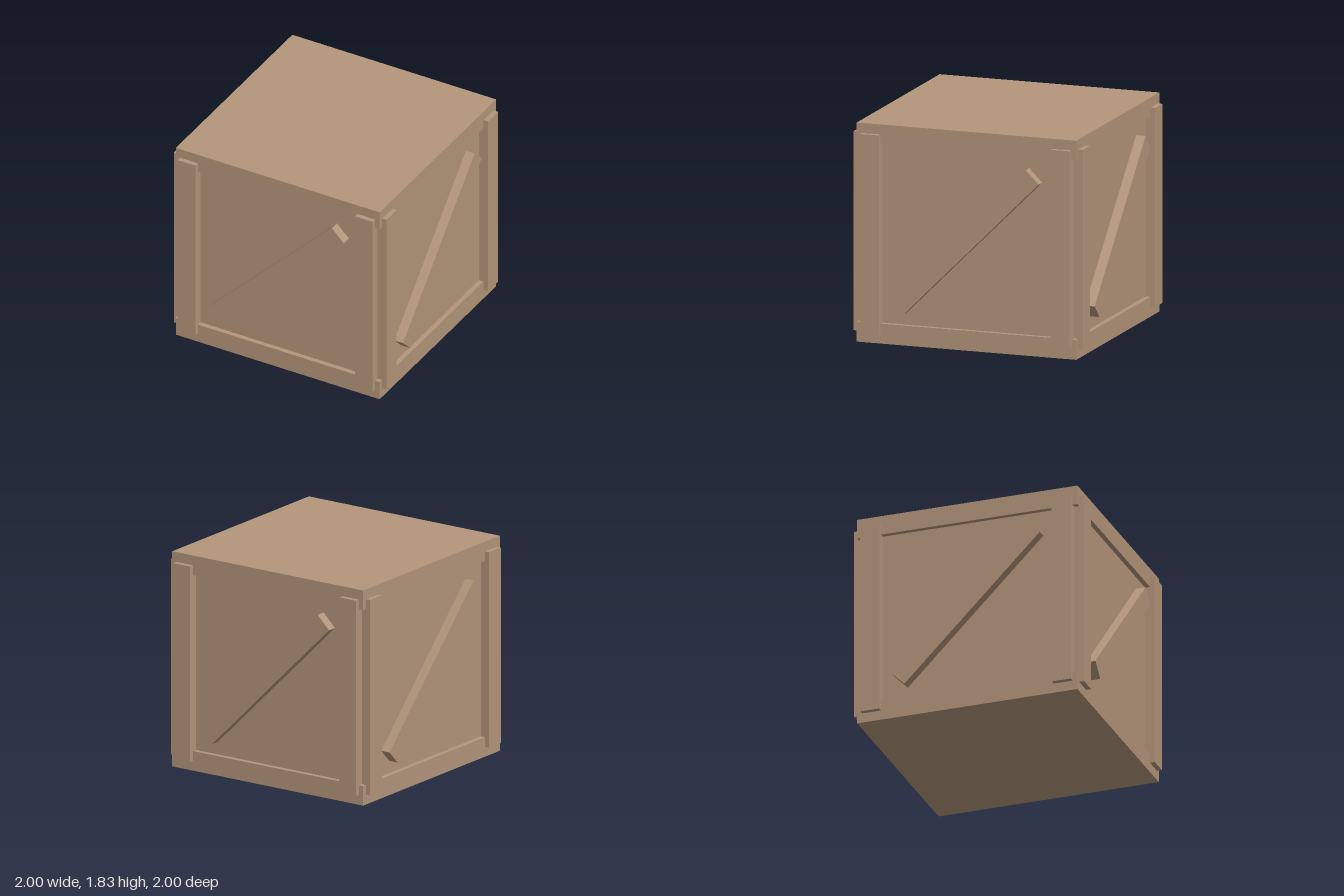
import * as THREE from 'three';

export function createModel() {
  const wood = new THREE.MeshStandardMaterial({ color: 0xb3957a });
  wood.name = 'wood';

  const unit = 1 / 12; // plank thickness
  const height = 22 * unit;
  const model = new THREE.Group();
  model.name = 'crate';

  function box(parent, name, w, h, d, x, y, z) {
    const mesh = new THREE.Mesh(new THREE.BoxGeometry(w, h, d), wood);
    mesh.name = name;
    mesh.position.set(x, y, z);
    parent.add(mesh);
    return mesh;
  }

  // Inner box between the two slabs
  box(model, 'body', 22 * unit, 18 * unit, 22 * unit, 0, height / 2, 0);

  // Slightly wider base and lid
  box(model, 'base', 23 * unit, 2 * unit, 23 * unit, 0, unit, 0);
  box(model, 'lid', 23 * unit, 2 * unit, 23 * unit, 0, height - unit, 0);

  // Each side carries two upright planks and one diagonal brace
  ['front', 'left', 'back', 'right'].forEach((name, i) => {
    const side = new THREE.Group();
    side.name = name + 'Side';
    side.rotation.y = i * Math.PI / 2;
    const z = 11.5 * unit;
    for (const s of [-1, 1]) {
      box(side, 'uprightPlank', 2 * unit, 20 * unit, unit, s * 10 * unit, height / 2, z);
    }
    const brace = box(side, 'diagonalBrace', 20 * unit, 1.92 * unit, unit, 0, height / 2, z);
    brace.rotation.z = Math.PI / 4;
    model.add(side);
  });

  return model;
}
